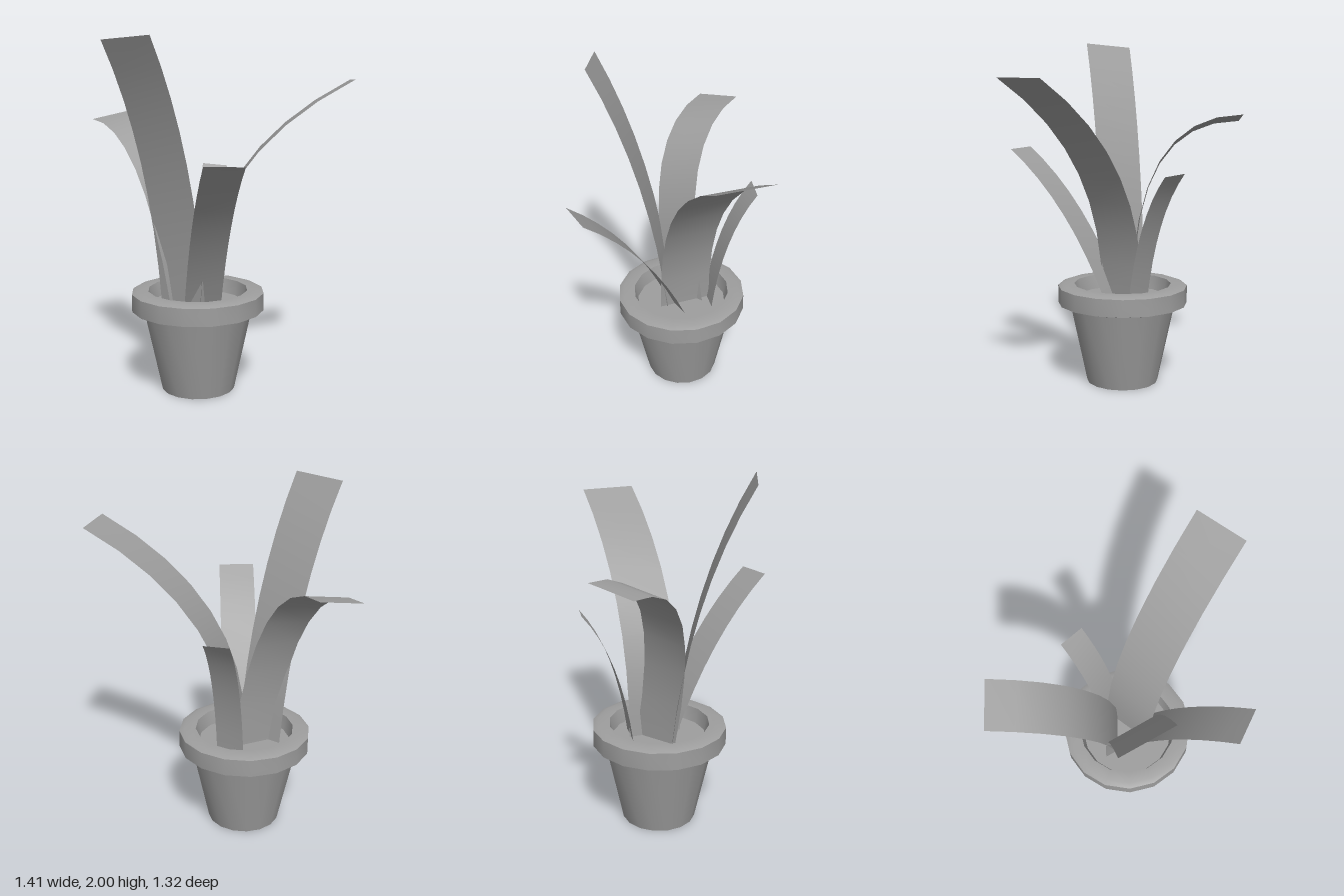
import * as THREE from 'three';
import { toCreasedNormals } from 'three/addons/utils/BufferGeometryUtils.js';

const SOIL_Y = 0.5;
const GREY = 0x9e9e9e;

// Strap leaf: a plane strip whose two edges run from base corners to tip corners.
// bend = [x, y, z] middle control of the curve, as fractions of the base-to-tip span.
function makeLeaf(name, baseA, baseB, tipA, tipB, bend, material) {
  const geometry = new THREE.PlaneGeometry(1, 1, 1, 8);
  const pos = geometry.attributes.position;
  for (let i = 0; i < pos.count; i++) {
    const base = pos.getX(i) < 0 ? baseA : baseB;
    const tip = pos.getX(i) < 0 ? tipA : tipB;
    const t = pos.getY(i) + 0.5;
    const p = base.map((b, k) => b + (tip[k] - b) * (2 * t * (1 - t) * bend[k] + t * t));
    pos.setXYZ(i, ...p);
  }
  geometry.computeVertexNormals();
  const leaf = new THREE.Mesh(geometry, material);
  leaf.name = name;
  return leaf;
}

export function createModel() {
  const model = new THREE.Group();
  model.name = 'pottedPlant';
  const potMaterial = new THREE.MeshStandardMaterial({ color: GREY });
  const leafMaterial = new THREE.MeshStandardMaterial({ color: GREY, side: THREE.DoubleSide });

  // Pot: tapered wall, flared rim and inner lip, 16 sides
  const profile = [
    [0, 0], [0.21, 0], [0.307, 0.455], [0.38, 0.475], [0.38, 0.575],
    [0.35, 0.587], [0.285, 0.587], [0.265, SOIL_Y],
  ].map(([r, y]) => new THREE.Vector2(r, y));
  const pot = new THREE.Mesh(
    toCreasedNormals(new THREE.LatheGeometry(profile, 16), 0.45), potMaterial);
  pot.name = 'pot';
  pot.position.set(-0.167, 0, -0.026);

  // Soil disc
  const soil = new THREE.Mesh(new THREE.CircleGeometry(0.27, 16).rotateX(-Math.PI / 2), potMaterial);
  soil.name = 'soil';
  soil.position.set(-0.167, SOIL_Y + 0.005, -0.026);
  model.add(pot, soil);

  // Leaves: base corners, tip corners, bend
  const y = SOIL_Y;
  const leaves = [
    ['tallLeaf', [-0.365, y, -0.09], [-0.15, y, 0.09],
      [-0.705, 1.98, 0.15], [-0.483, 2.0, 0.345], [0.2, 0.6, 0.2]],
    ['leftBackLeaf', [-0.325, y, -0.035], [-0.08, y, -0.12],
      [-0.69, 1.53, -0.57], [-0.45, 1.575, -0.66], [0.45, 1.0, -0.13]],
    ['wideLeaf', [-0.185, y, 0.113], [-0.095, y, -0.18],
      [0.615, 1.775, 0.345], [0.704, 1.77, 0.053], [0, 0.66, 0]],
    ['frontLeaf', [-0.255, y, 0.02], [-0.045, y, 0.035],
      [-0.28, 1.37, 0.638], [-0.072, 1.365, 0.66], [0.38, 0.65, 0.38]],
    ['smallBackLeaf', [-0.145, y, -0.19], [0, y, -0.13],
      [-0.04, 1.26, -0.445], [0.094, 1.25, -0.377], [0.25, 0.68, 0.25]],
  ];
  for (const spec of leaves) model.add(makeLeaf(...spec, leafMaterial));
  return model;
}
